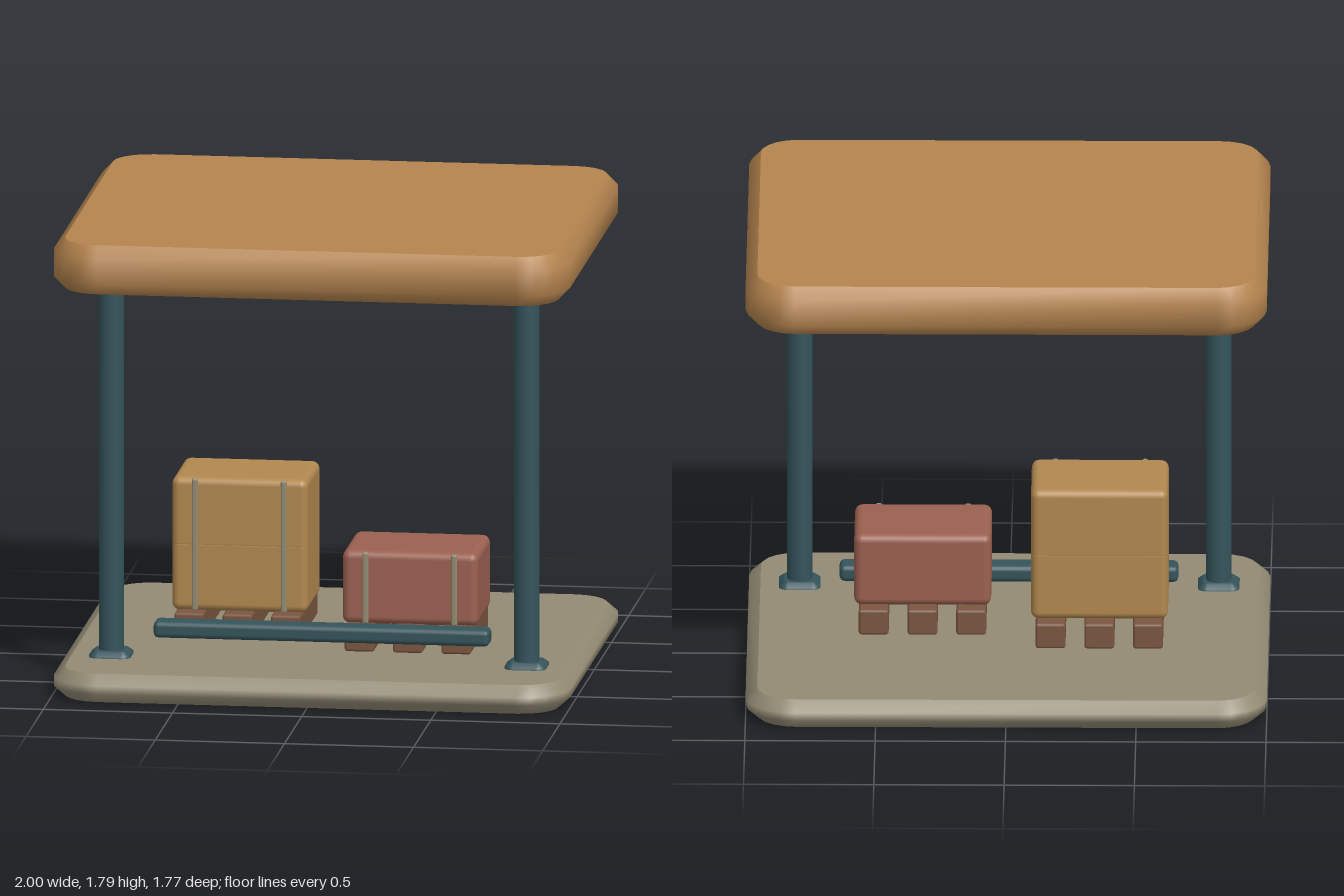
import * as THREE from 'three';
import { RoundedBoxGeometry } from 'three/addons/geometries/RoundedBoxGeometry.js';

const mat = (name, color) => {
  const m = new THREE.MeshStandardMaterial({ color });
  m.name = name;
  return m;
};

// Outline of a rounded rectangle, as [x, z] points
function outline(hx, hz, r, steps = 5) {
  const pts = [];
  [[1, 1], [-1, 1], [-1, -1], [1, -1]].forEach(([sx, sz], q) => {
    for (let i = 0; i <= steps; i++) {
      const a = (q + i / steps) * Math.PI / 2;
      pts.push([sx * (hx - r) + r * Math.cos(a), sz * (hz - r) + r * Math.sin(a)]);
    }
  });
  return pts;
}

// Rounded slab from stacked outlines: smooth rim, flat caps. Each ring is [inset, y].
function slab(hx, hz, r, rings) {
  const pos = [], nor = [], idx = [];
  const loops = rings.map(([inset, y]) =>
    outline(hx - inset, hz - inset, r - inset).map(([x, z]) => [x, y, z]));
  const n = loops[0].length;
  loops.forEach((loop) => loop.forEach((p) => pos.push(...p)));
  for (let k = 0; k < loops.length - 1; k++) {
    for (let i = 0; i < n; i++) {
      const a = k * n + i, b = k * n + (i + 1) % n;
      idx.push(a, a + n, b, b, a + n, b + n);
    }
  }
  const cap = (loop, up) => {
    const c = pos.length / 3;
    pos.push(0, loop[0][1], 0);
    loop.forEach((p) => pos.push(...p));
    for (let i = 0; i < n; i++) {
      const a = c + 1 + i, b = c + 1 + (i + 1) % n;
      idx.push(c, up ? b : a, up ? a : b);
    }
  };
  cap(loops[0], false);
  cap(loops[loops.length - 1], true);
  const g = new THREE.BufferGeometry();
  g.setAttribute('position', new THREE.Float32BufferAttribute(pos, 3));
  g.setIndex(idx);
  g.computeVertexNormals();
  return g;
}

export function createModel() {
  const stone = mat('stone', 0x938b74);
  const roofTan = mat('roofTan', 0xb5844e);
  const crateTan = mat('crateTan', 0xb2884f);
  const crateRed = mat('crateRed', 0x9b6150);
  const teal = mat('teal', 0x34545b);
  const wood = mat('wood', 0x7b5640);

  const model = new THREE.Group();
  model.name = 'cargoShelter';
  const add = (parent, name, geo, material, x = 0, y = 0, z = 0) => {
    const m = new THREE.Mesh(geo, material);
    m.name = name;
    m.position.set(x, y, z);
    parent.add(m);
    return m;
  };

  // Floor and canopy
  add(model, 'floor', slab(1, 0.885, 0.19, [[0.045, 0], [0, 0.04], [0, 0.072], [0.045, 0.112]]), stone);
  add(model, 'roof', slab(1, 0.885, 0.19, [[0.045, 1.6], [0, 1.648], [0, 1.745], [0.045, 1.793]]), roofTan);
  add(model, 'ceilingLamp', new THREE.CylinderGeometry(0.1, 0.1, 0.01, 20), stone, 0, 1.6, 0.49);

  // Posts with foot plates
  const postGeo = new THREE.CylinderGeometry(0.049, 0.049, 1.51, 16);
  const footGeo = slab(0.08, 0.08, 0.035, [[0, 0.105], [0, 0.12], [0.022, 0.136]]);
  for (const [side, x] of [['left', 0.804], ['right', -0.804]]) {
    add(model, side + 'Post', postGeo, teal, x, 0.855, 0.49);
    add(model, side + 'Foot', footGeo, teal, x, 0, 0.49);
  }

  // Low guard bar in front of the cargo
  add(model, 'guardBar', new RoundedBoxGeometry(1.3, 0.065, 0.1, 2, 0.02), teal, 0, 0.202, 0.39);

  // Cargo stacks: pallet slats, crates and front straps
  const slatGeo = new RoundedBoxGeometry(0.115, 0.1, 0.515, 1, 0.01);
  const crateGeo = new RoundedBoxGeometry(0.526, 0.287, 0.388, 3, 0.03);
  const strapGeo = new RoundedBoxGeometry(0.024, 0.28, 0.02, 2, 0.008);
  const stack = (name, x, z, tiers, material) => {
    const g = new THREE.Group();
    g.name = name;
    g.position.set(x, 0, z);
    model.add(g);
    for (const dx of [-0.187, 0, 0.187]) add(g, 'palletSlat', slatGeo, wood, dx, 0.175, 0);
    for (let t = 0; t < tiers; t++) {
      const y = 0.363 + t * 0.238;
      add(g, 'crate', crateGeo, material, 0, y, 0);
      for (const dx of [-0.172, 0.172]) add(g, 'strap', strapGeo, stone, dx, y, 0.19);
    }
  };
  stack('tallStack', -0.353, -0.034, 2, crateTan);
  stack('shortStack', 0.327, 0.118, 1, crateRed);

  return model;
}
